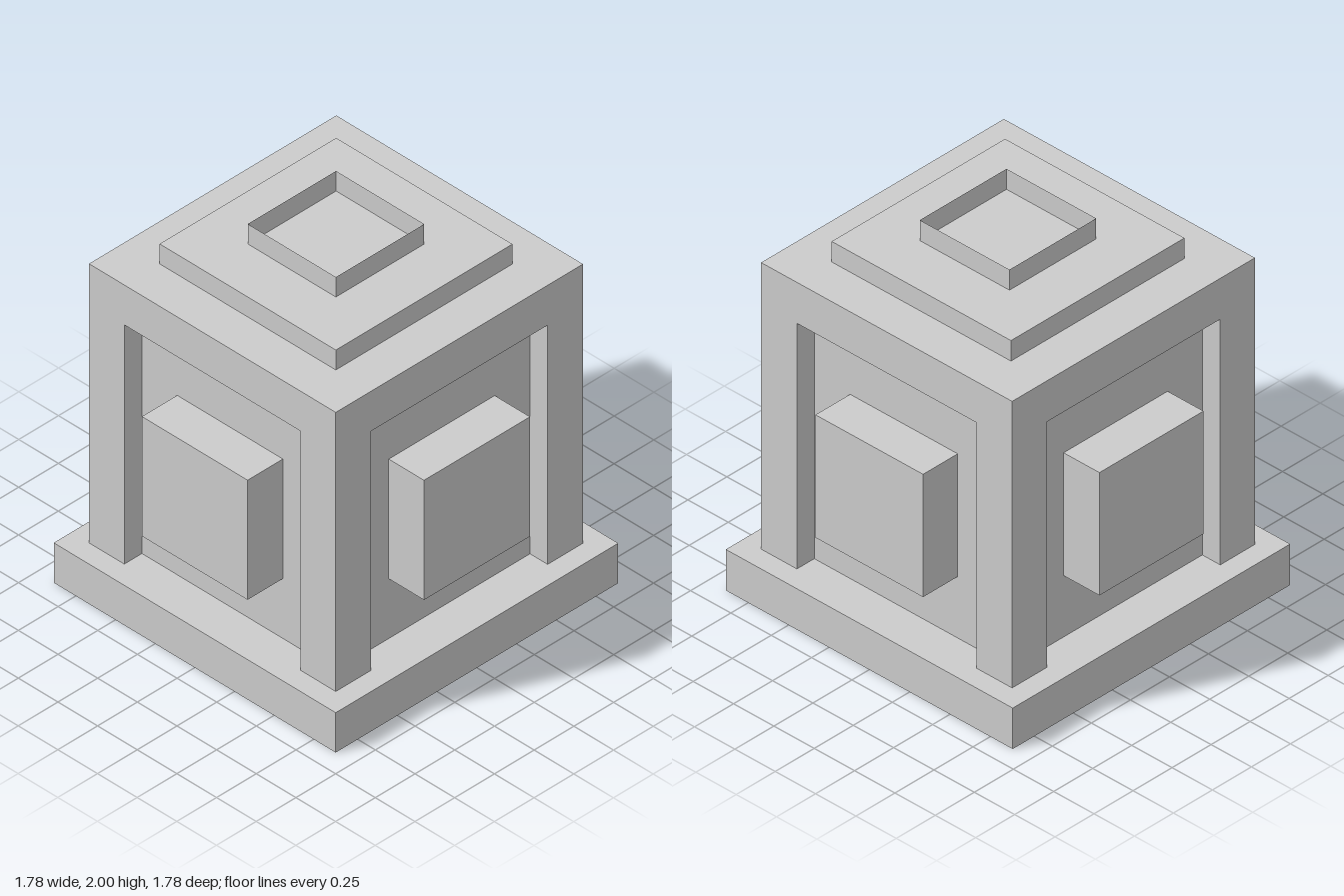
import * as THREE from 'three';

const U = 1 / 9; // the model sits on a regular block grid

export function createModel() {
  const model = new THREE.Group();
  const material = new THREE.MeshStandardMaterial({ color: 0xcccccc, flatShading: true });
  const thin = new THREE.MeshStandardMaterial({ color: 0xcccccc, flatShading: true, side: THREE.DoubleSide });

  const add = (name, geometry, mat = material) => {
    const mesh = new THREE.Mesh(geometry, mat);
    mesh.name = name;
    model.add(mesh);
    return mesh;
  };

  // Square slab in grid units: width, bottom, top
  const slab = (name, width, y0, y1) =>
    add(name, new THREE.BoxGeometry(width * U, (y1 - y0) * U, width * U).translate(0, (y0 + y1) / 2 * U, 0));

  slab('base', 16, 0, 2);
  slab('bodyTop', 14, 14, 16);
  slab('lid', 10, 16, 17);

  // Body: square plan with a shallow recess in each side, leaving corner posts
  const plan = [];
  for (let i = 0; i < 4; i++) {
    for (const [x, y] of [[-7, 7], [-5, 7], [-5, 6], [5, 6], [5, 7]]) {
      plan.push(new THREE.Vector2(x * U, y * U).rotateAround(new THREE.Vector2(), -i * Math.PI / 2));
    }
  }
  const body = new THREE.ExtrudeGeometry(new THREE.Shape(plan), { depth: 12 * U, bevelEnabled: false });
  add('recessedBody', body.rotateX(-Math.PI / 2).translate(0, 2 * U, 0));

  // On each side: a raised block on the recessed panel, and one thin wall of the open top collar
  ['front', 'left', 'back', 'right'].forEach((side, i) => {
    const angle = i * Math.PI / 2;
    add(side + 'Block', new THREE.BoxGeometry(6 * U, 6 * U, 2 * U).translate(0, 8 * U, 7 * U).rotateY(angle));
    add(side + 'CollarWall', new THREE.PlaneGeometry(5 * U, U).translate(0, 17.5 * U, 2.5 * U).rotateY(angle), thin);
  });

  return model;
}
